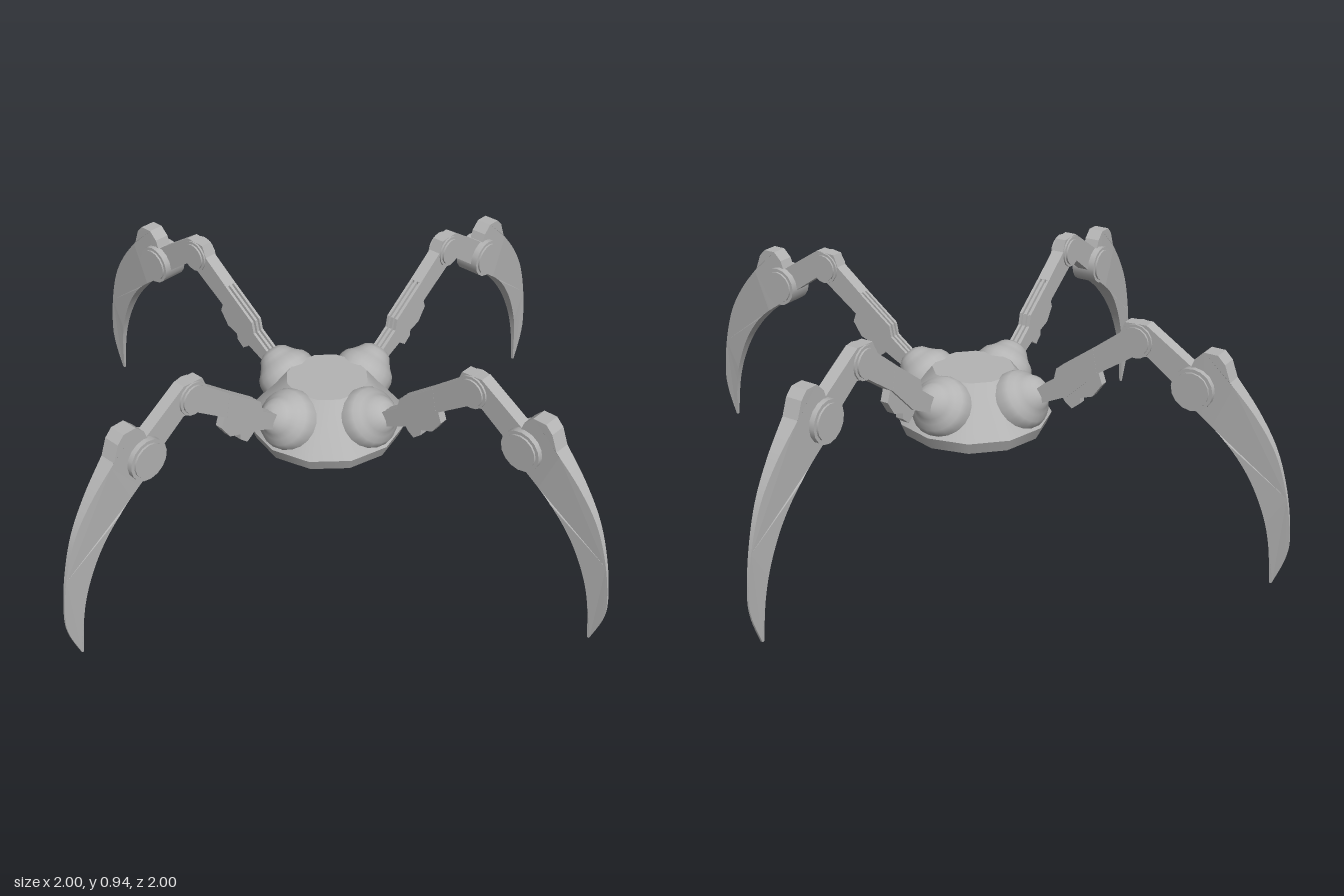
import * as THREE from 'three';

const metal = new THREE.MeshStandardMaterial({ color: 0xb4b4b4 });
metal.name = 'grey metal';

function add(parent, name, geometry) {
  const mesh = new THREE.Mesh(geometry, metal);
  mesh.name = name;
  parent.add(mesh);
  return mesh;
}

// Flat plate from an outline in the leg plane, centred on z
function plate(points, width, z = 0) {
  const shape = new THREE.Shape(points.map(([x, y]) => new THREE.Vector2(x, y)));
  const g = new THREE.ExtrudeGeometry(shape, { depth: width, bevelEnabled: false });
  return g.translate(0, 0, z - width / 2);
}

// Round pivot with a slightly smaller raised cap on each side
function joint(parent, name, x, y, radius, halfWidth) {
  const g = new THREE.Group();
  g.name = name;
  g.position.set(x, y, 0);
  g.rotation.x = Math.PI / 2;
  add(g, name + 'Disc', new THREE.CylinderGeometry(radius, radius, halfWidth * 2, 16));
  add(g, name + 'Cap', new THREE.CylinderGeometry(radius * 0.84, radius * 0.84, halfWidth * 2 + 0.016, 16));
  parent.add(g);
}

function createLeg() {
  const leg = new THREE.Group();

  // Bell-shaped shoulder sitting on the sloped hull
  const bell = [[0.128, -0.02], [0.126, 0.015], [0.115, 0.04], [0.094, 0.06], [0.078, 0.08],
    [0.064, 0.102], [0.04, 0.118], [0, 0.125]].map(([r, y]) => new THREE.Vector2(r, y));
  const shoulder = add(leg, 'shoulder', new THREE.LatheGeometry(bell, 20));
  shoulder.position.set(0.235, 0.48, 0);
  shoulder.rotation.z = -0.9;

  // Thigh: solid upper end, slotted lower end
  add(leg, 'thigh', plate([[0.68, 0.88], [0.56, 0.785], [0.57, 0.67], [0.59, 0.69], [0.76, 0.81], [0.76, 0.88]], 0.055));
  const lower = [[0.57, 0.792], [0.41, 0.67], [0.40, 0.62], [0.32, 0.56], [0.34, 0.50], [0.46, 0.56], [0.59, 0.69]];
  for (const z of [-0.022, 0, 0.022]) add(leg, 'thighRail', plate(lower, 0.012, z));
  add(leg, 'thighCore', plate([[0.57, 0.775], [0.42, 0.66], [0.41, 0.61], [0.32, 0.545], [0.34, 0.50], [0.46, 0.56], [0.59, 0.69]], 0.05));

  // Stepped bracket with a small hook under the thigh
  add(leg, 'thighBracket', plate([[0.40, 0.60], [0.45, 0.53], [0.48, 0.51], [0.515, 0.54],
    [0.515, 0.565], [0.57, 0.585], [0.61, 0.645], [0.59, 0.70]], 0.034));

  joint(leg, 'knee', 0.75, 0.865, 0.068, 0.034);
  add(leg, 'shin', plate([[0.70, 0.93], [0.68, 0.88], [0.74, 0.80], [0.80, 0.81], [0.93, 0.72],
    [1.0, 0.72], [0.98, 0.815], [0.79, 0.935]], 0.052));
  joint(leg, 'ankle', 1.0, 0.735, 0.084, 0.055);

  // Curved claw, thinning towards its tip
  const claw = new THREE.Shape();
  claw.moveTo(1.03, 0.885);
  claw.lineTo(0.995, 0.85);
  claw.lineTo(0.97, 0.78);
  claw.lineTo(0.95, 0.70);
  claw.lineTo(1.0, 0.655);
  claw.splineThru([[1.13, 0.56], [1.23, 0.44], [1.30, 0.3], [1.335, 0.17], [1.354, 0]]
    .map(([x, y]) => new THREE.Vector2(x, y)));
  claw.lineTo(1.362, 0);
  claw.splineThru([[1.404, 0.12], [1.412, 0.22], [1.385, 0.385], [1.33, 0.545], [1.245, 0.675], [1.14, 0.79]]
    .map(([x, y]) => new THREE.Vector2(x, y)));
  claw.lineTo(1.115, 0.855);
  claw.lineTo(1.085, 0.885);
  const g = new THREE.ExtrudeGeometry(claw, { depth: 2, bevelEnabled: false, curveSegments: 14 });
  g.translate(0, 0, -1);
  const p = g.attributes.position;
  for (let i = 0; i < p.count; i++) {
    const half = Math.min(0.034, 0.004 + 0.11 * Math.max(0, 1.412 - p.getX(i)));
    p.setZ(i, Math.sign(p.getZ(i)) * half * Math.min(1, 0.5 + p.getY(i) * 2));
  }
  g.computeVertexNormals();
  add(leg, 'claw', g);
  return leg;
}

export function createModel() {
  const model = new THREE.Group();
  model.name = 'fourLeggedWalker';

  // Twelve-sided hull with flats facing the axes
  const k = 1 / Math.cos(Math.PI / 12);
  const hull = new THREE.Group();
  hull.name = 'hull';
  hull.rotation.y = Math.PI / 12;
  add(hull, 'upperHull', new THREE.CylinderGeometry(0.165 * k, 0.318 * k, 0.195, 12)).position.y = 0.4725;
  add(hull, 'lowerRim', new THREE.CylinderGeometry(0.318 * k, 0.297 * k, 0.053, 12)).position.y = 0.3485;
  model.add(hull);

  const names = ['backLeftLeg', 'backRightLeg', 'frontRightLeg', 'frontLeftLeg'];
  names.forEach((name, i) => {
    const leg = createLeg();
    leg.name = name;
    leg.rotation.y = Math.PI / 4 + i * Math.PI / 2;
    model.add(leg);
  });
  return model;
}
